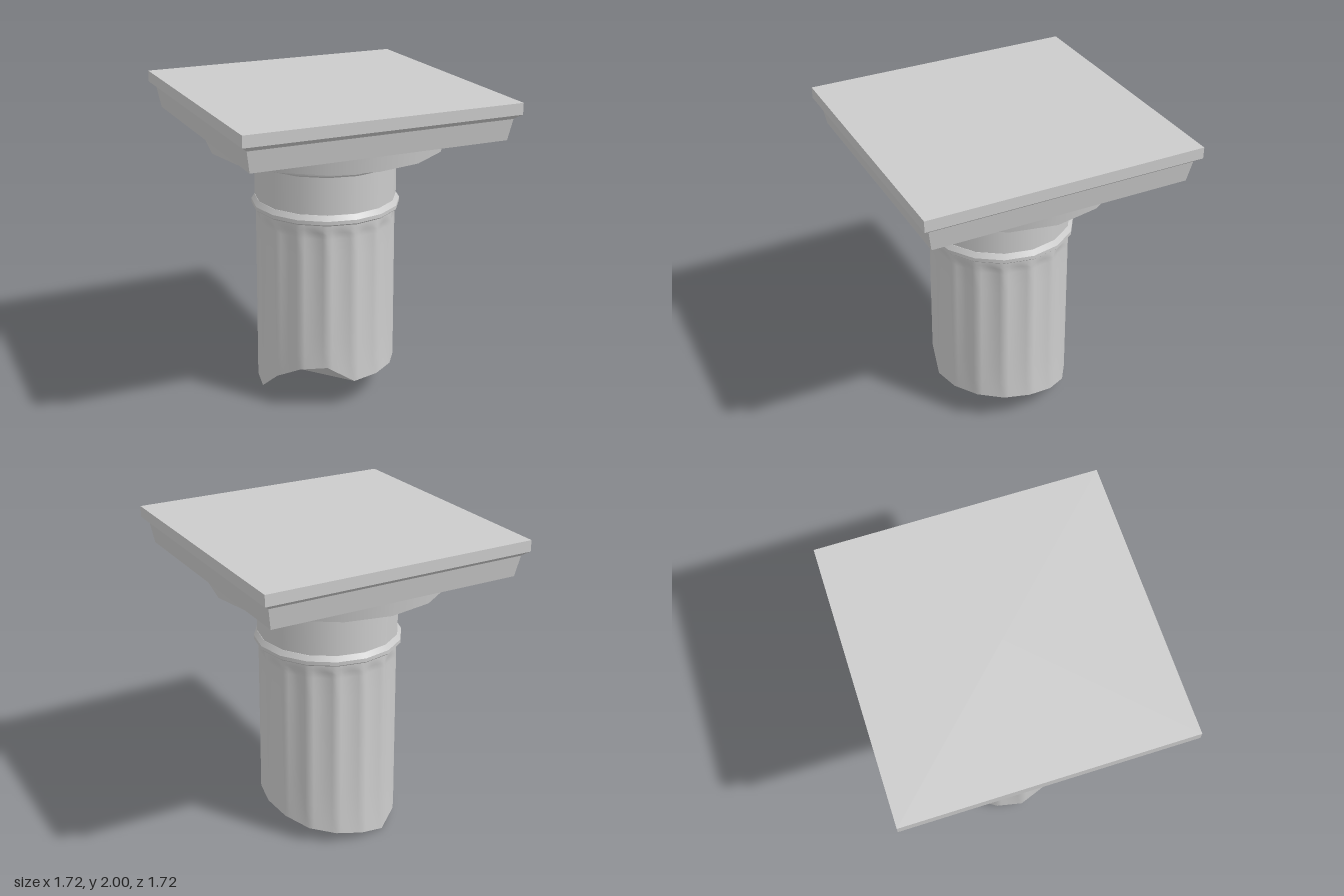
import * as THREE from 'three';

const SIDES = 16;
const smooth = new THREE.MeshStandardMaterial({ color: 0xcccccc });
const flat = new THREE.MeshStandardMaterial({ color: 0xcccccc, flatShading: true });

// Height of the broken lower rim at each corner, from +z round towards +x
const RIM = [0.205, 0.21, 0.21, 0.2, 0.185, 0.15, 0.105, 0.075, 0.045, 0.005, 0.065, 0.065, 0.06, 0.2, 0.29, 0.315];
const SHAFT_TOP = 1.256;
const BASE_RADIUS = 0.445;
const TOP_RADIUS = 0.435;

function addMesh(parent, name, geometry, material) {
  const mesh = new THREE.Mesh(geometry, material);
  mesh.name = name;
  parent.add(mesh);
}

// One lathe per band: smooth around the axis, crisp between bands
function turned(name, profile) {
  const group = new THREE.Group();
  group.name = name;
  for (let i = 0; i < profile.length - 1; i++) {
    const pair = [profile[i], profile[i + 1]].map(([r, y]) => new THREE.Vector2(r, y));
    addMesh(group, name + 'Band', new THREE.LatheGeometry(pair, SIDES), smooth);
  }
  return group;
}

function corner(k, radius) {
  const a = (k / SIDES) * Math.PI * 2;
  return [Math.sin(a) * radius, Math.cos(a) * radius];
}

function meshData(positions, indices) {
  const g = new THREE.BufferGeometry();
  g.setAttribute('position', new THREE.Float32BufferAttribute(positions, 3));
  g.setIndex(indices);
  g.computeVertexNormals();
  return g;
}

// Shallow flutes, deepest near the top and dying out at the break
function flutedShaft() {
  const perSide = 6, cols = SIDES * perSide, lower = 8;
  const rows = lower + 4, positions = [], indices = [];
  for (let r = 0; r < rows; r++) {
    for (let c = 0; c < cols; c++) {
      const k = Math.floor(c / perSide), f = (c % perSide) / perSide;
      const next = (k + 1) % SIDES;
      const bottom = THREE.MathUtils.lerp(RIM[k], RIM[next], f);
      const wave = Math.sin(Math.PI * f);
      const y = r <= lower
        ? THREE.MathUtils.lerp(bottom, 1.16, r / lower)
        : [1.19 + 0.01 * wave, 1.215 + 0.01 * wave, SHAFT_TOP][r - lower - 1];
      const fade = r <= lower ? Math.sqrt(r / lower) : [0.7, 0, 0][r - lower - 1];
      const radius = THREE.MathUtils.lerp(BASE_RADIUS, TOP_RADIUS, r / (rows - 1));
      const [x0, z0] = corner(k, radius), [x1, z1] = corner(next, radius);
      const s = 1 - (0.016 * fade * wave) / radius;
      positions.push((x0 + (x1 - x0) * f) * s, y, (z0 + (z1 - z0) * f) * s);
    }
  }
  for (let r = 0; r < rows - 1; r++) {
    for (let c = 0; c < cols; c++) {
      const a = r * cols + c, b = r * cols + ((c + 1) % cols);
      indices.push(a, b, a + cols, b, b + cols, a + cols);
    }
  }
  return meshData(positions, indices);
}

// Fractured underside, fanned from the corner where its two faces meet
function brokenFace() {
  const positions = [], indices = [], hub = 10;
  for (let k = 0; k < SIDES; k++) {
    const [x, z] = corner(k, BASE_RADIUS);
    positions.push(x, RIM[k], z);
    const next = (k + 1) % SIDES;
    if (k !== hub && next !== hub) indices.push(hub, next, k);
  }
  return meshData(positions, indices);
}

export function createModel() {
  const model = new THREE.Group();
  model.name = 'brokenColumn';

  addMesh(model, 'flutedShaft', flutedShaft(), smooth);
  addMesh(model, 'brokenFace', brokenFace(), flat);

  // Round mouldings of the capital
  model.add(
    turned('neckRing', [[0.42, 1.255], [0.455, 1.255], [0.465, 1.264], [0.465, 1.287], [0.445, 1.318], [0.435, 1.32]]),
    turned('neck', [[0.443, 1.31], [0.443, 1.56]]),
    turned('upperRing', [[0.44, 1.557], [0.46, 1.557], [0.467, 1.568], [0.475, 1.605]]),
    turned('echinus', [[0.46, 1.605], [0.475, 1.605], [0.737, 1.66], [0.752, 1.77]])
  );

  // Square slab with a stepped edge
  const slab = [[0, 1.77], [0.8, 1.77], [0.822, 1.9], [0.825, 1.904], [0.86, 1.93], [0.86, 2], [0, 2]]
    .map(([half, y]) => new THREE.Vector2(half * Math.SQRT2, y));
  addMesh(model, 'abacus', new THREE.LatheGeometry(slab, 4).rotateY(Math.PI / 4), flat);

  return model;
}
